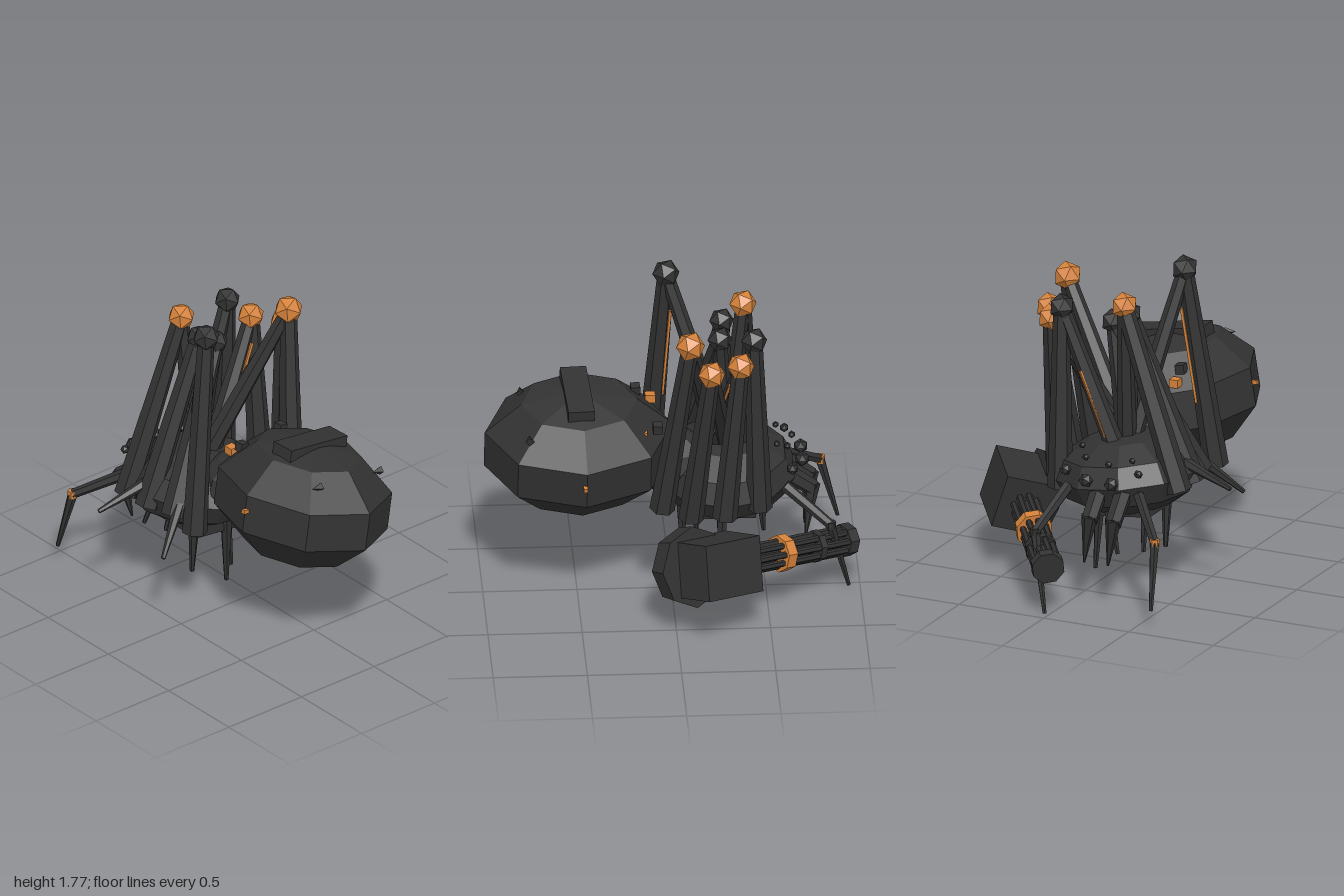
import * as THREE from 'three';

const V = (x, y, z) => new THREE.Vector3(x, y, z);
const UP = V(0, 1, 0);

export function createModel() {
  const armour = new THREE.MeshStandardMaterial({ color: 0x323232, flatShading: true });
  armour.name = 'darkArmour';
  const accent = new THREE.MeshStandardMaterial({ color: 0xd5823a, flatShading: true });
  accent.name = 'orangeAccent';
  const model = new THREE.Group();
  model.name = 'spiderRobot';

  const add = (parent, name, geo, mat, p = V(0, 0, 0)) => {
    const m = new THREE.Mesh(geo, mat);
    m.name = name;
    m.position.copy(p);
    parent.add(m);
    return m;
  };
  // tapered beam from a (radius ra) to b (radius rb)
  const beam = (parent, name, a, b, ra, rb, sides = 6, mat = armour) => {
    const d = b.clone().sub(a);
    const m = add(parent, name, new THREE.CylinderGeometry(rb, ra, d.length(), sides), mat, a.clone().lerp(b, 0.5));
    m.quaternion.setFromUnitVectors(UP, d.normalize());
    return m;
  };
  const box = (parent, name, w, h, d, mat, p) => add(parent, name, new THREE.BoxGeometry(w, h, d), mat, p);

  // abdomen
  const abdomen = new THREE.Group();
  abdomen.name = 'abdomen';
  abdomen.position.set(-0.067, 0.838, 0.49);
  abdomen.rotation.set(0, 0.06, -0.16);
  model.add(abdomen);
  add(abdomen, 'abdomenShell', new THREE.SphereGeometry(1, 8, 5).scale(0.45, 0.343, 0.527), armour);
  box(abdomen, 'backPlate', 0.41, 0.08, 0.14, armour, V(-0.01, 0.312, 0.01));
  for (const s of [-1, 1]) {
    box(abdomen, 'sidePin', 0.05, 0.022, 0.022, accent, V(s * 0.43, 0.022, 0.01));
    const spur = add(abdomen, 'spur', new THREE.ConeGeometry(0.025, 0.06, 4), armour, V(s * 0.22 + 0.01, 0.22, 0.29));
    spur.rotation.z = Math.PI / 2;
    box(abdomen, 'rearSpur', 0.05, 0.05, 0.05, armour, V(s * 0.18, 0.21, s < 0 ? -0.32 : -0.4));
  }

  // orange clasps at the waist
  box(model, 'waistClasp', 0.05, 0.045, 0.055, accent, V(-0.235, 1.02, 0.1));
  box(model, 'waistClasp', 0.055, 0.04, 0.035, accent, V(0.1, 0.97, 0.15));

  // thorax with waist joint
  const thorax = add(model, 'thorax', new THREE.SphereGeometry(1, 10, 6).scale(0.4, 0.22, 0.385), armour, V(-0.15, 0.64, -0.29));
  thorax.rotation.z = -0.12;
  add(model, 'waist', new THREE.SphereGeometry(1, 8, 6).scale(0.21, 0.17, 0.24), armour, V(-0.1, 0.72, 0));
  box(model, 'bellyPlate', 0.36, 0.06, 0.4, armour, V(-0.17, 0.46, -0.25)).rotation.z = -0.12;

  // eyes
  const eyes = [[-0.25, 0.7, -0.7, 0.04], [-0.1, 0.7, -0.7, 0.04], [0.05, 0.72, -0.64, 0.033],
    [-0.37, 0.75, -0.62, 0.025], [-0.31, 0.8, -0.57, 0.018], [-0.21, 0.79, -0.65, 0.02],
    [-0.06, 0.8, -0.62, 0.02], [-0.01, 0.84, -0.56, 0.018]];
  for (const [x, y, z, r] of eyes) add(model, 'eye', new THREE.IcosahedronGeometry(r), armour, V(x, y, z));

  // fangs
  for (const x of [-0.27, -0.13]) {
    beam(model, 'fangBase', V(x, 0.62, -0.6), V(x - 0.02, 0.5, -0.76), 0.05, 0.045);
    beam(model, 'fangTip', V(x - 0.02, 0.53, -0.755), V(x + 0.03, 0.25, -0.72), 0.045, 0.006);
  }

  // feelers
  const feelers = [
    [V(-0.36, 0.62, -0.59), V(-0.565, 0.46, -0.82), V(-0.59, 0.11, -0.915), accent],
    [V(0.05, 0.62, -0.6), V(0.13, 0.42, -0.84), V(0.025, 0.01, -0.94), armour],
  ];
  for (const [a, b, c, mat] of feelers) {
    beam(model, 'feelerUpper', a, b, 0.032, 0.026);
    beam(model, 'feelerLower', b, c, 0.027, 0.011);
    add(model, 'feelerJoint', new THREE.CylinderGeometry(0.028, 0.028, 0.04, 6), mat, b);
  }

  // legs: hip, knee, knee colour, knee radius, end of the shin
  const core = V(-0.15, 0.74, -0.3);
  const legs = [
    [core, V(-0.335, 1.705, 0.01), armour, 0.075, V(-0.48, 0.6, 0.09)],
    [core, V(-0.175, 1.595, -0.39), accent, 0.075, V(-0.52, 0.62, -0.43)],
    [core, V(-0.15, 1.51, -0.275), armour, 0.068, V(-0.52, 0.62, -0.26)],
    [core, V(-0.045, 1.45, -0.26), armour, 0.068, V(-0.48, 0.62, -0.09)],
    [V(-0.13, 0.76, -0.38), V(0.175, 1.55, -0.43), armour, 0.072, V(0.17, 0.55, -0.46)],
    [V(-0.15, 0.76, -0.25), V(0.31, 1.595, -0.085), accent, 0.08, V(0.21, 0.58, 0.06)],
    [core, V(0.365, 1.45, -0.195), accent, 0.075, V(0.27, 0.55, -0.09)],
    [V(-0.13, 0.76, -0.22), V(0.275, 1.45, -0.355), accent, 0.075, V(0.27, 0.55, -0.27)],
  ];
  for (const [hip, knee, mat, r, end] of legs) {
    const leg = new THREE.Group();
    leg.name = 'leg';
    model.add(leg);
    add(leg, 'knee', new THREE.IcosahedronGeometry(r), mat, knee).rotation.set(0.5, 0.4, 0.2);
    beam(leg, 'thigh', hip, knee, 0.055, 0.038);
    beam(leg, 'shin', end, knee, 0.068, 0.045);
  }

  // orange strips along the inner side of some limbs: start, end, offset, range
  const strips = [
    [legs[0][1], legs[0][4], V(0.037, 0, -0.038), 0.2, 0.68],
    [legs[4][1], legs[4][0], V(0, -0.02, -0.043), 0.4, 0.85],
    [legs[7][1], legs[7][0], V(0.022, -0.025, 0.036), 0.15, 0.8],
  ];
  for (const [a, b, off, s, e] of strips) {
    beam(model, 'limbStrip', a.clone().lerp(b, s).add(off), a.clone().lerp(b, e).add(off), 0.01, 0.01, 4, accent);
  }

  // leg claws
  const claws = [
    [V(-0.45, 0.75, -0.29), V(-0.78, 0.645, -0.345)], [V(-0.42, 0.72, -0.09), V(-0.665, 0.49, 0.05)],
    [V(-0.3, 0.55, -0.13), V(-0.3, 0.19, -0.15)], [V(-0.14, 0.52, -0.06), V(-0.13, 0.11, -0.07)],
    [V(0.02, 0.55, -0.27), V(0.06, 0.05, -0.26)], [V(-0.12, 0.52, -0.48), V(-0.19, 0.24, -0.5)],
  ];
  for (const [a, b] of claws) beam(model, 'claw', a, b, 0.035, 0.012);

  // rotary gun; local +z runs from the muzzle to the stock
  const gun = new THREE.Group();
  gun.name = 'rotaryGun';
  const muzzle = V(0.015, 0.27, -0.925);
  const axis = V(0.53, 0.395, -0.215).sub(muzzle);
  const len = axis.length();
  axis.normalize();
  const side = V(-0.26, 0.95, 0.1).cross(axis).normalize();
  const top = axis.clone().cross(side);
  gun.position.copy(muzzle);
  gun.quaternion.setFromRotationMatrix(new THREE.Matrix4().makeBasis(side, top, axis));
  model.add(gun);
  for (let i = 0; i < 8; i++) {
    const a = (i / 8) * Math.PI * 2, x = Math.cos(a) * 0.065, y = Math.sin(a) * 0.065;
    beam(gun, 'barrel', V(x, y, 0), V(x, y, 0.75), 0.018, 0.018);
  }
  beam(gun, 'barrelCore', V(0, 0, 0.02), V(0, 0, 0.75), 0.035, 0.035);
  beam(gun, 'muzzleCollar', V(0, 0, -0.025), V(0, 0, 0.035), 0.09, 0.09, 8);
  beam(gun, 'middleCollar', V(0, 0, 0.19), V(0, 0, 0.23), 0.087, 0.087, 8);
  beam(gun, 'orangeCollar', V(0, 0, 0.41), V(0, 0, 0.47), 0.1, 0.1, 8, accent);
  box(gun, 'gunHousing', 0.29, 0.3, 0.37, armour, V(0, 0, len));
  box(gun, 'housingStrip', 0.04, 0.008, 0.28, accent, V(0.02, -0.151, len - 0.01));

  // ammunition drum beside the housing
  beam(gun, 'ammoDrum', V(-0.09, 0, len + 0.08), V(-0.2, 0, len + 0.08), 0.22, 0.205, 8);
  return model;
}
